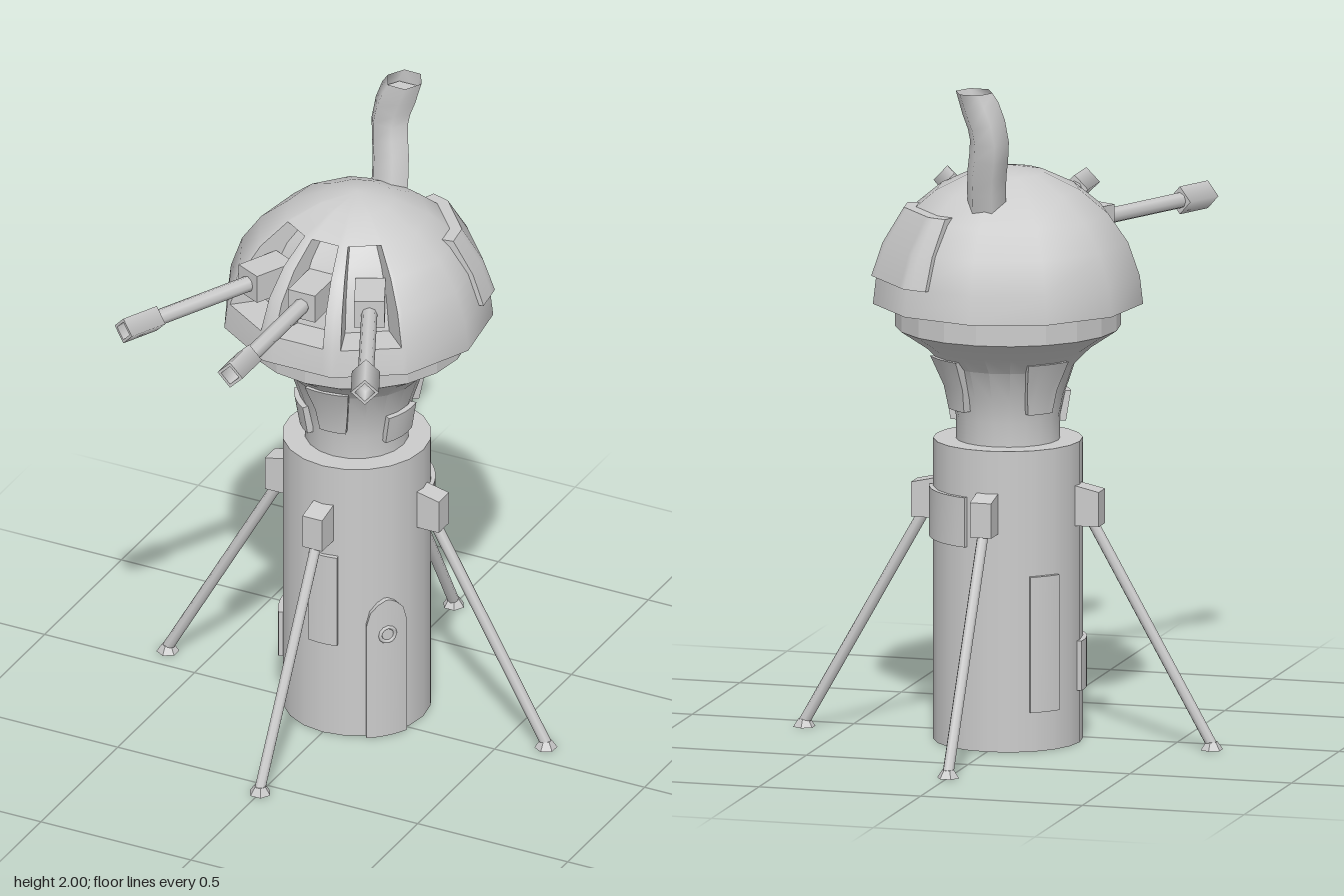
import * as THREE from 'three';
import { toCreasedNormals } from 'three/addons/utils/BufferGeometryUtils.js';

const AXIS_Z = -0.08;
const DOME_SIDES = 11;
const rad = THREE.MathUtils.degToRad;
const grey = new THREE.MeshStandardMaterial({ color: 0xcccccc });
const greyTwoSided = new THREE.MeshStandardMaterial({ color: 0xcccccc, side: THREE.DoubleSide });

function add(parent, name, geometry, material = grey) {
  const mesh = new THREE.Mesh(geometry, material);
  mesh.name = name;
  parent.add(mesh);
  return mesh;
}

// Point on a round (or n-sided) column; degrees run from +z towards +x
function around(deg, r, y, sides = 0) {
  let f = 1;
  if (sides) {
    const step = 360 / sides;
    const local = ((((deg - 180) % step) + step) % step) - step / 2;
    f = Math.cos(rad(step / 2)) / Math.cos(rad(local));
  }
  return new THREE.Vector3(Math.sin(rad(deg)) * r * f, y, Math.cos(rad(deg)) * r * f);
}

// Collects quads and turns them into a creased geometry
function quadBuilder() {
  const pts = [];
  return {
    quad(a, b, c, d) {
      for (const t of [[a, b, c], [a, c, d]]) {
        const same = (p, q) => p.distanceTo(q) < 1e-6;
        if (!same(t[0], t[1]) && !same(t[1], t[2]) && !same(t[0], t[2])) pts.push(...t);
      }
    },
    build(crease) {
      return toCreasedNormals(new THREE.BufferGeometry().setFromPoints(pts), crease);
    },
  };
}

// Curved plate: rows are [radius, y, half angle], from bottom to top
function plate(rows, centre, depth, sides = 0, cols = 8) {
  const q = quadBuilder();
  const P = (i, j, d) => around(centre + rows[j][2] * ((2 * i) / cols - 1), rows[j][0] - d, rows[j][1], sides);
  const n = rows.length - 1;
  for (let j = 0; j < n; j++) {
    for (let i = 0; i < cols; i++) q.quad(P(i, j, 0), P(i + 1, j, 0), P(i + 1, j + 1, 0), P(i, j + 1, 0));
    q.quad(P(0, j, depth), P(0, j, 0), P(0, j + 1, 0), P(0, j + 1, depth));
    q.quad(P(cols, j, 0), P(cols, j, depth), P(cols, j + 1, depth), P(cols, j + 1, 0));
  }
  for (let i = 0; i < cols; i++) {
    q.quad(P(i, 0, depth), P(i + 1, 0, depth), P(i + 1, 0, 0), P(i, 0, 0));
    q.quad(P(i, n, 0), P(i + 1, n, 0), P(i + 1, n, depth), P(i, n, depth));
  }
  return q.build(0.7);
}

// Eleven-sided dome with three recessed windows in front
function domeGeometry() {
  const rings = [[0.3, 1.325], [0.405, 1.325], [0.395, 1.41], [0.36, 1.51], [0.3, 1.595],
    [0.215, 1.665], [0.11, 1.715], [0, 1.735]];
  const windows = [[-47, -20], [-12, 12], [20, 47]];
  const angles = windows.flat();
  for (let k = 0; k <= DOME_SIDES; k++) angles.push(-180 + (k * 360) / DOME_SIDES);
  angles.sort((a, b) => a - b);
  const first = 2, last = 4, inset = 0.72;
  const q = quadBuilder();
  for (let i = 0; i < angles.length - 1; i++) {
    const a = angles[i], b = angles[i + 1];
    const open = windows.some(w => a >= w[0] && b <= w[1]);
    for (let j = 0; j < rings.length - 1; j++) {
      const P = (t, k, s = 1) => around(t, rings[k][0] * s, rings[k][1], DOME_SIDES);
      const I = (t, k) => P(t, k, inset);
      if (!open || j < first || j > last) {
        q.quad(P(a, j), P(b, j), P(b, j + 1), P(a, j + 1));
        continue;
      }
      q.quad(I(a, j), I(b, j), I(b, j + 1), I(a, j + 1));
      q.quad(P(a, j), I(a, j), I(a, j + 1), P(a, j + 1));
      q.quad(I(b, j), P(b, j), P(b, j + 1), I(b, j + 1));
      if (j === first) q.quad(P(a, j), P(b, j), I(b, j), I(a, j));
      if (j === last) q.quad(I(a, j + 1), I(b, j + 1), P(b, j + 1), P(a, j + 1));
    }
  }
  return q.build(0.7);
}

const lathe = (points, sides) =>
  toCreasedNormals(new THREE.LatheGeometry(points.map(p => new THREE.Vector2(...p)), sides), 0.5);

// Gun pointing along +z from the turret pivot
function makeGun() {
  const gun = new THREE.Group();
  gun.name = 'gun';
  add(gun, 'gunMount', new THREE.BoxGeometry(0.09, 0.09, 0.14)).position.z = 0.4;
  const barrel = add(gun, 'barrel', new THREE.CylinderGeometry(0.024, 0.024, 0.38, 8));
  barrel.rotation.x = Math.PI / 2;
  barrel.position.z = 0.64;
  const muzzle = add(gun, 'muzzle', new THREE.LatheGeometry(
    [[0, 0], [0.042, 0], [0.042, 0], [0.042, 0.125], [0.042, 0.125], [0.03, 0.125], [0.03, 0.125], [0.03, 0.07], [0, 0.07]]
      .map(p => new THREE.Vector2(...p)), 4), greyTwoSided);
  muzzle.rotation.x = Math.PI / 2;
  muzzle.position.z = 0.81;
  return gun;
}

// Support leg reaching out along +x
function makeLeg() {
  const leg = new THREE.Group();
  leg.name = 'supportLeg';
  const side = new THREE.Shape([[0.2, 0.66], [0.29, 0.66], [0.29, 0.765], [0.2, 0.785]].map(p => new THREE.Vector2(...p)));
  add(leg, 'legBracket', new THREE.ExtrudeGeometry(side, { depth: 0.066, bevelEnabled: false }).translate(0, 0, -0.033));
  const top = new THREE.Vector3(0.255, 0.68, 0), foot = new THREE.Vector3(0.632, 0.012, 0);
  const rod = add(leg, 'legRod', new THREE.CylinderGeometry(0.017, 0.017, top.distanceTo(foot), 8));
  rod.position.copy(top).add(foot).multiplyScalar(0.5);
  rod.quaternion.setFromUnitVectors(new THREE.Vector3(0, 1, 0), top.clone().sub(foot).normalize());
  add(leg, 'footPad', toCreasedNormals(new THREE.CylinderGeometry(0.018, 0.034, 0.024, 6), 0.5)).position.set(0.63, 0.012, 0);
  return leg;
}

export function createModel() {
  const model = new THREE.Group();
  model.name = 'turretTower';
  const tower = new THREE.Group();
  tower.name = 'tower';
  tower.position.z = AXIS_Z;
  model.add(tower);

  add(tower, 'towerBody', new THREE.CylinderGeometry(0.222, 0.222, 0.91, 20)).position.y = 0.455;
  add(tower, 'neck', lathe([[0.155, 0.9], [0.155, 0.98], [0.17, 1.05], [0.2, 1.14], [0.255, 1.195], [0.336, 1.25]], 20));
  const collar = toCreasedNormals(new THREE.CylinderGeometry(0.336, 0.336, 0.075, 20), 0.1);
  add(tower, 'collar', collar).position.y = 1.2875;
  add(tower, 'dome', domeGeometry());
  add(tower, 'domePanel', plate([[0.41, 1.41, 29], [0.376, 1.51, 29], [0.312, 1.615, 29]], 129, 0.04, DOME_SIDES, 16));

  // Plates around the neck
  for (const a of [4, 139, 228])
    add(tower, 'neckPlate', plate([[0.187, 1.01, 13], [0.2, 1.08, 15], [0.24, 1.17, 17]], a, 0.035, 0, 4));
  for (const a of [78, 308])
    add(tower, 'smallNeckPlate', plate([[0.172, 0.96, 21], [0.187, 1.05, 20]], a, 0.03, 0, 4));

  // Plates on the tower: centre angle, half angle, bottom, top
  for (const [a, h, y0, y1] of [[1, 11.5, 0.31, 0.61], [225, 12, 0.12, 0.53], [284, 19, 0.16, 0.31], [132, 31, 0.615, 0.765]])
    add(tower, 'towerPlate', plate([[0.234, y0, h], [0.234, y1, h]], a, 0.025));

  // Door with an arched top and a round porthole
  add(tower, 'door', plate([[0.236, 0, 16], [0.236, 0.38, 16], [0.236, 0.425, 13], [0.236, 0.45, 7], [0.236, 0.462, 1.5]], 50, 0.025));
  const porthole = add(tower, 'doorPorthole', new THREE.TorusGeometry(0.024, 0.006, 6, 12));
  porthole.position.copy(around(50, 0.236, 0.345));
  porthole.rotation.y = rad(50);

  for (let i = 0; i < 4; i++) {
    const leg = makeLeg();
    leg.rotation.y = (i * Math.PI) / 2;
    tower.add(leg);
  }

  for (const a of [-25.5, 0, 25.5]) {
    const gun = makeGun();
    gun.position.set(0, 1.527, -0.19);
    gun.rotation.y = rad(a);
    model.add(gun);
  }

  // Bent six-sided chimney, cut level at the top
  const path = new THREE.CatmullRomCurve3([[0.01, 1.6, -0.265], [0.003, 1.73, -0.295], [-0.012, 1.87, -0.322], [0.032, 2, -0.328]]
    .map(p => new THREE.Vector3(...p)));
  const pipe = new THREE.TubeGeometry(path, 8, 0.06, 6);
  const pos = pipe.attributes.position;
  for (let i = pos.count - 7; i < pos.count; i++) pos.setY(i, 2);
  pipe.computeVertexNormals();
  add(model, 'chimney', pipe, greyTwoSided);
  const plug = add(model, 'chimneyFloor', new THREE.CircleGeometry(0.055, 6), greyTwoSided);
  plug.rotation.x = -Math.PI / 2;
  plug.position.set(0.018, 1.96, -0.327);
  return model;
}
